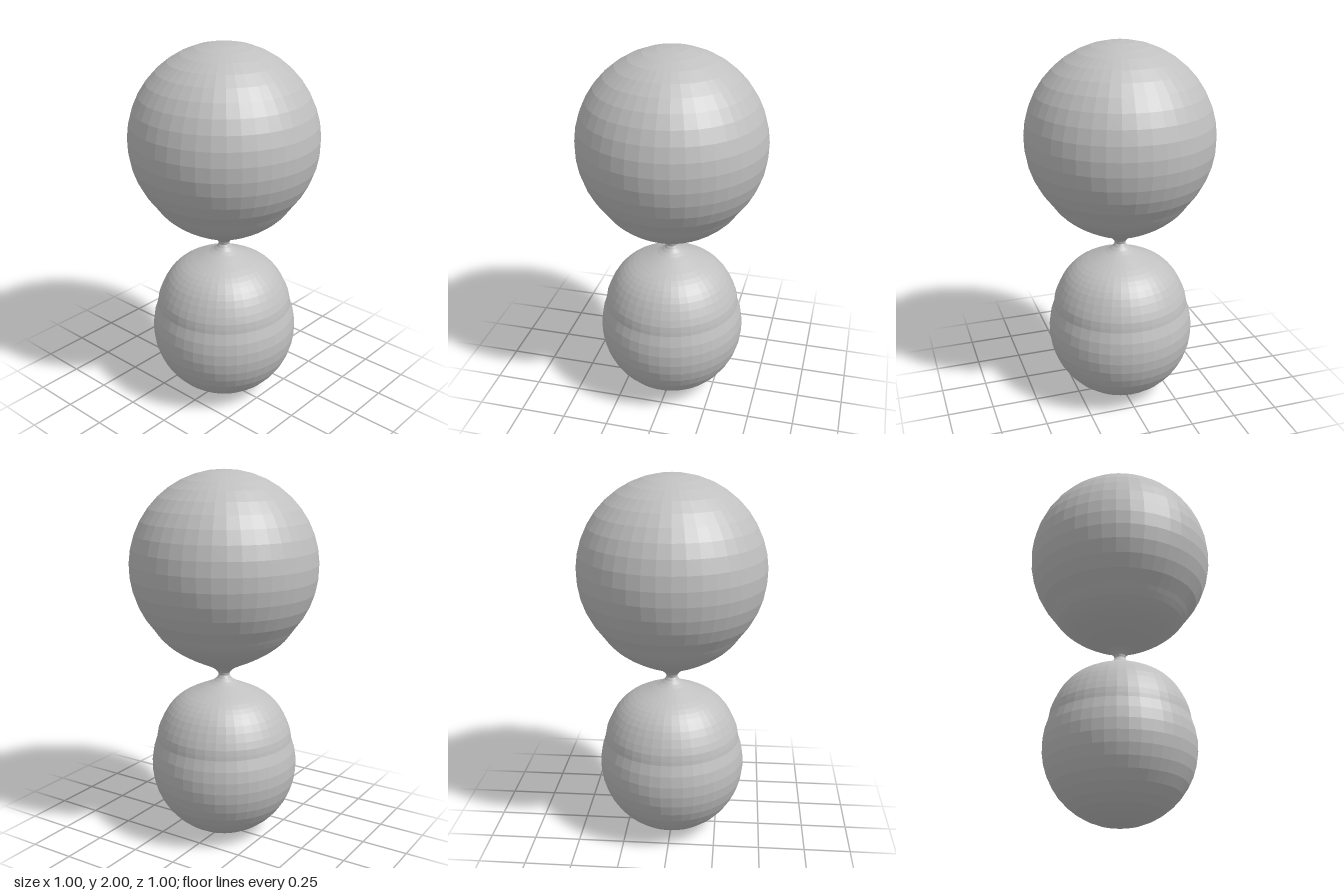
import * as THREE from 'three';

const SIDES = 42;

// Points on a sphere outline, from one polar angle (0 = bottom) to another
function arc(centerY, radius, from, to, steps) {
  const points = [];
  for (let i = 0; i <= steps; i++) {
    const a = from + ((to - from) * i) / steps;
    points.push(new THREE.Vector2(Math.max(0, radius * Math.sin(a)), centerY - radius * Math.cos(a)));
  }
  return points;
}

export function createModel() {
  const group = new THREE.Group();
  const grey = new THREE.MeshStandardMaterial({ color: 0xc0c0c0, flatShading: true });
  grey.name = 'plain grey';

  const addLathe = (name, points) => {
    const mesh = new THREE.Mesh(new THREE.LatheGeometry(points, SIDES), grey);
    mesh.name = name;
    group.add(mesh);
  };

  // Two bulbs, each a sphere left open where the neck takes over
  const lower = arc(0.4, 0.4, 0, Math.PI * 0.62, 13);
  const upper = arc(1.5, 0.5, Math.PI * 0.27, Math.PI, 15);
  addLathe('lowerBulb', lower);
  addLathe('upperBulb', upper);

  // Pinched neck flowing smoothly from one bulb into the other
  const start = lower[lower.length - 1];
  const end = upper[0];
  const inner = [
    [0.36, 0.61], [0.317, 0.7], [0.268, 0.76], [0.21, 0.802], [0.125, 0.842], [0.06, 0.872],
    [0.029, 0.908], [0.055, 0.943], [0.11, 0.972], [0.18, 1.005], [0.262, 1.053], [0.33, 1.11],
  ].map(([r, y]) => new THREE.Vector2(r, y));
  addLathe('neck', new THREE.SplineCurve([start, ...inner, end]).getPoints(30));

  return group;
}
